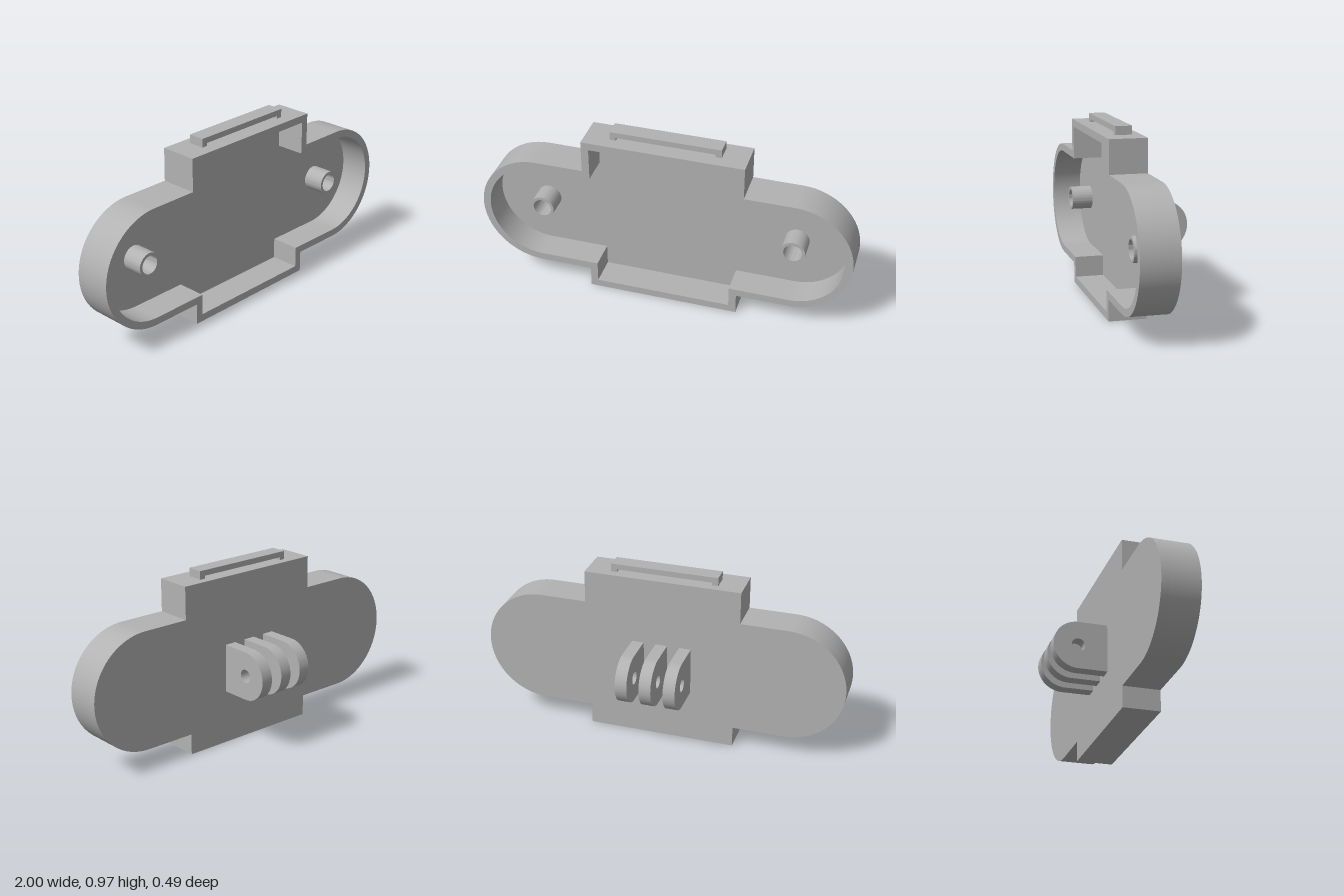
import * as THREE from 'three';
import { toCreasedNormals } from 'three/addons/utils/BufferGeometryUtils.js';

const BACK = 0.045, FLOOR = 0.085, FRONT = 0.243, WALL = 0.04;
const END_X = 0.682, MID_Y = 0.432, END_R = 0.318;

// Rounded-end tray outline with stepped tabs above and below, shrunk by t
function outline(t) {
  const r = END_R - t, top = 0.926 - t, bottom = t;
  const topW = 0.426 - t, bottomW = 0.405 - t;
  const s = new THREE.Shape();
  s.moveTo(-bottomW, bottom);
  s.lineTo(bottomW, bottom);
  s.lineTo(bottomW, MID_Y - r);
  s.absarc(END_X, MID_Y, r, -Math.PI / 2, Math.PI / 2, false);
  s.lineTo(topW, MID_Y + r);
  s.lineTo(topW, top);
  s.lineTo(-topW, top);
  s.lineTo(-topW, MID_Y + r);
  s.absarc(-END_X, MID_Y, r, Math.PI / 2, Math.PI * 1.5, false);
  s.lineTo(-bottomW, MID_Y - r);
  s.closePath();
  return s;
}

function extrude(shape, depth) {
  const g = new THREE.ExtrudeGeometry(shape, { depth, bevelEnabled: false, curveSegments: 32 });
  return toCreasedNormals(g, 0.6);
}

function circle(x, y, r) {
  return new THREE.Path().absarc(x, y, r, 0, Math.PI * 2, true);
}

export function createModel() {
  const model = new THREE.Group();
  model.name = 'mountingTray';
  const grey = new THREE.MeshStandardMaterial({ color: 0xb2b2b2 });
  grey.name = 'grey plastic';

  const add = (name, geometry, x = 0, y = 0, z = 0) => {
    const mesh = new THREE.Mesh(geometry, grey);
    mesh.name = name;
    mesh.position.set(x, y, z);
    model.add(mesh);
  };

  // Tray: solid back plate and raised rim
  add('backPlate', extrude(outline(0), FLOOR - BACK), 0, 0, BACK);
  const rim = outline(0);
  rim.holes.push(outline(WALL));
  add('rimWall', extrude(rim, FRONT - FLOOR), 0, 0, FLOOR);

  // Hollow screw posts
  const ring = new THREE.Shape().absarc(0, 0, 0.065, 0, Math.PI * 2, false);
  ring.holes.push(circle(0, 0, 0.049));
  const postGeometry = extrude(ring, 0.115);
  for (const side of [1, -1]) {
    add(side > 0 ? 'leftPost' : 'rightPost', postGeometry, side * END_X, MID_Y, FLOOR);
  }

  // Strap bar on two short feet
  add('strapBar', new THREE.BoxGeometry(0.584, 0.03, 0.087), 0, 0.956, 0.1335);
  for (const side of [1, -1]) {
    add(side > 0 ? 'leftBarFoot' : 'rightBarFoot',
      new THREE.BoxGeometry(0.032, 0.016, 0.087), side * 0.276, 0.933, 0.1335);
  }

  // Three hinge fins behind the plate, each with a bolt hole
  const finY = 0.4235, finR = 0.1315, pivot = 0.111;
  const fin = new THREE.Shape();
  fin.moveTo(-BACK, finY - finR);
  fin.lineTo(pivot, finY - finR);
  fin.absarc(pivot, finY, finR, -Math.PI / 2, Math.PI / 2, false);
  fin.lineTo(-BACK, finY + finR);
  fin.closePath();
  fin.holes.push(circle(pivot, finY, 0.036));
  const finWidth = 0.065;
  const finGeometry = extrude(fin, finWidth).rotateY(Math.PI / 2);
  [-0.131, 0, 0.131].forEach((x, i) => {
    add(['rightFin', 'middleFin', 'leftFin'][i], finGeometry, x - finWidth / 2);
  });

  return model;
}
